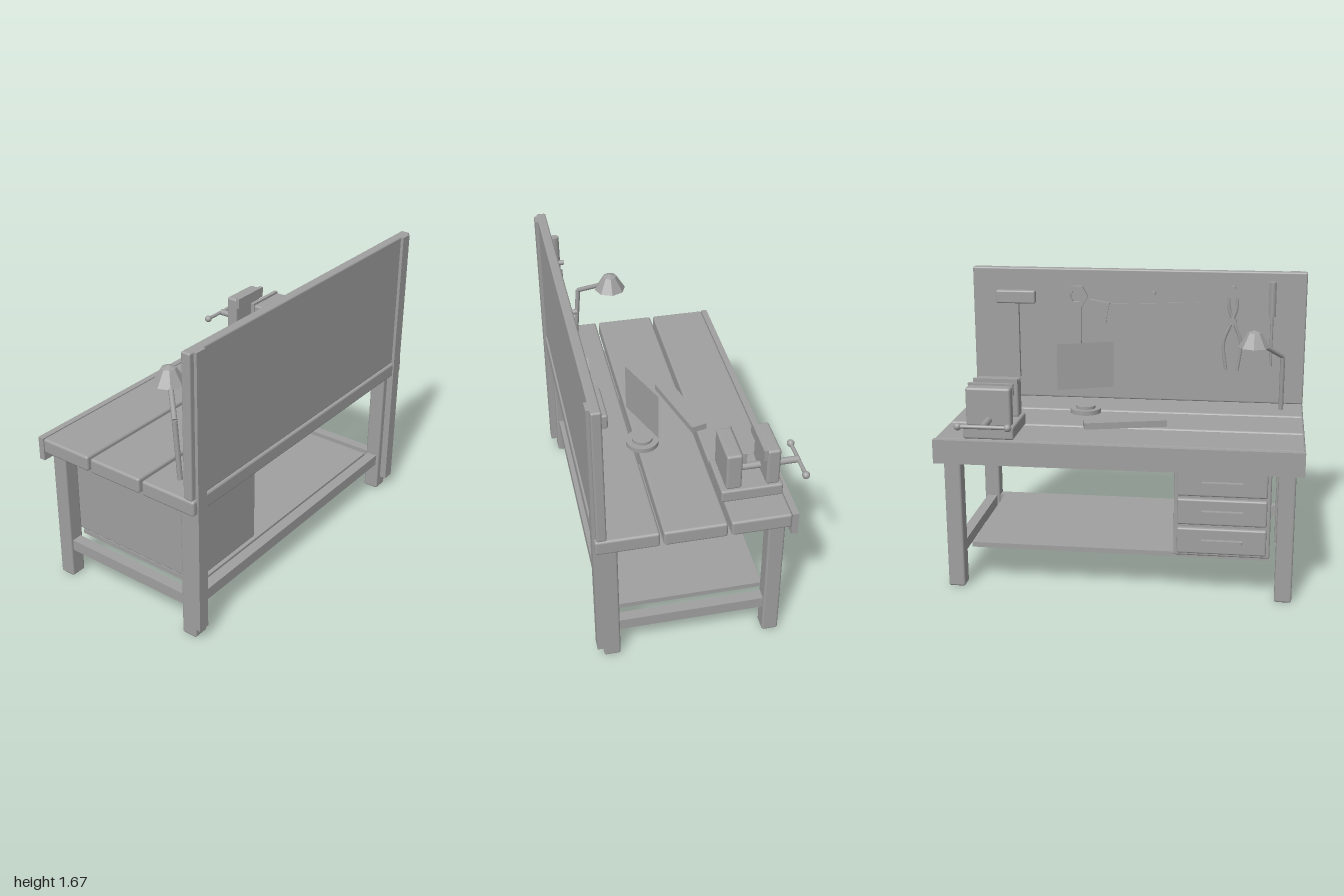
import * as THREE from 'three';
import { RoundedBoxGeometry } from 'three/addons/geometries/RoundedBoxGeometry.js';

export function createModel() {
  const model = new THREE.Group();
  model.name = 'workbench';
  const grey = new THREE.MeshStandardMaterial({ color: 0xa0a0a0, side: THREE.DoubleSide });
  grey.name = 'plain grey';

  const add = (name, geometry, x = 0, y = 0, z = 0, parent = model) => {
    const mesh = new THREE.Mesh(geometry, grey);
    mesh.name = name;
    mesh.position.set(x, y, z);
    parent.add(mesh);
    return mesh;
  };
  // Box given by its minimum and maximum on each axis; r > 0 softens the edges
  const box = (name, [x0, x1], [y0, y1], [z0, z1], r = 0, parent = model) => {
    const s = [x1 - x0, y1 - y0, z1 - z0];
    const g = r ? new RoundedBoxGeometry(...s, 2, r) : new THREE.BoxGeometry(...s);
    return add(name, g, (x0 + x1) / 2, (y0 + y1) / 2, (z0 + z1) / 2, parent);
  };
  // Round bar between two points
  const bar = (name, a, b, r, sides = 10, parent = model) => {
    const p = new THREE.Vector3(...a), q = new THREE.Vector3(...b);
    const d = q.clone().sub(p);
    const mesh = add(name, new THREE.CylinderGeometry(r, r, d.length(), sides), 0, 0, 0, parent);
    mesh.position.copy(p).add(q).multiplyScalar(0.5);
    mesh.quaternion.setFromUnitVectors(new THREE.Vector3(0, 1, 0), d.normalize());
    return mesh;
  };
  const group = (name) => {
    const g = new THREE.Group();
    g.name = name;
    model.add(g);
    return g;
  };

  // Frame: legs, posts and side rails, mirrored left and right
  for (const s of [-1, 1]) {
    const x = 0.91 * s;
    for (const z of [-0.383, 0.497])
      box('leg', [x - 0.047, x + 0.047], [0, 0.77], [z - 0.045, z + 0.045], 0.012);
    box('sideRail', [x - 0.03, x + 0.03], [0.17, 0.235], [-0.34, 0.455]);
    const px = 0.935 * s;
    box('boardPost', [px - 0.034, px + 0.034], [0.07, 1.665], [0.52, 0.58]);
  }
  box('longRail', [-0.865, 0.865], [0.17, 0.235], [0.465, 0.525]);
  box('shelf', [-0.83, 0.83], [0.215, 0.243], [-0.36, 0.46]);

  // Bench top: three planks and an apron
  for (const z of [[-0.447, -0.128], [-0.11, 0.222], [0.24, 0.572]])
    box('plank', [-1, 1], [0.786, 0.873], z, 0.014);
  box('apron', [-1, 1], [0.74, 0.873], [-0.48, -0.445]);
  box('toolBoard', [-1, 1], [0.873, 1.667], [0.51, 0.563], 0.01);

  // Drawer cabinet
  box('cabinet', [-0.83, -0.307], [0.243, 0.768], [-0.405, 0.442], 0.01);
  for (const y of [0.338, 0.504, 0.667]) {
    box('drawerFront', [-0.81, -0.327], [y - 0.073, y + 0.073], [-0.43, -0.395], 0.01);
    box('drawerHandle', [-0.68, -0.46], [y - 0.013, y + 0.013], [-0.456, -0.425]);
  }

  // Vise: base, two jaws with grip plates, screw and turning bar
  const vise = group('vise');
  box('viseBase', [0.56, 0.84], [0.873, 0.945], [-0.44, -0.112], 0.012, vise);
  box('fixedJaw', [0.575, 0.823], [0.94, 1.155], [-0.223, -0.139], 0.014, vise);
  box('movingJaw', [0.575, 0.823], [0.94, 1.155], [-0.424, -0.352], 0.014, vise);
  box('jawPlate', [0.575, 0.823], [1.1, 1.163], [-0.242, -0.22], 0, vise);
  box('jawPlate', [0.575, 0.823], [1.1, 1.163], [-0.355, -0.332], 0, vise);
  bar('viseScrew', [0.697, 0.977, -0.2], [0.697, 0.977, -0.56], 0.019, 12, vise);
  bar('viseHandle', [0.56, 0.977, -0.56], [0.835, 0.977, -0.56], 0.011, 10, vise);
  for (const x of [0.562, 0.832])
    add('handleKnob', new THREE.SphereGeometry(0.021, 12, 8), x, 0.977, -0.56, vise);

  // Desk lamp with an eight-sided shade, open underneath
  const lamp = group('lamp');
  const elbow = [-0.87, 1.2, 0.357];
  bar('lampStem', [-0.87, 0.873, 0.385], elbow, 0.014, 8, lamp);
  bar('lampArm', elbow, [-0.74, 1.3, 0.225], 0.014, 8, lamp);
  const shade = new THREE.LatheGeometry(
    [[0.09, 1.287], [0.04, 1.37], [0, 1.385]].map(([r, y]) => new THREE.Vector2(r, y)), 8).toNonIndexed();
  shade.computeVertexNormals();
  add('lampShade', shade, -0.705, 0, 0.187, lamp);

  // Round projector base with an upright panel floating above it
  add('projectorBase', new THREE.CylinderGeometry(0.09, 0.09, 0.027, 24), 0.265, 0.886, 0.188);
  add('projectorLens', new THREE.CylinderGeometry(0.057, 0.057, 0.018, 24), 0.265, 0.907, 0.188);
  add('floatingPanel', new THREE.PlaneGeometry(0.334, 0.27), 0.265, 1.15, 0.188).rotation.y = 0.36;

  // Loose block on the bench
  add('looseBlock', new THREE.BoxGeometry(0.465, 0.037, 0.09), 0, 0.891, -0.083).rotation.y = 0.256;

  // Hammer
  box('hammerHead', [0.613, 0.852], [1.457, 1.535], [0.46, 0.51], 0.01);
  box('hammerHandle', [0.717, 0.747], [1.0, 1.47], [0.476, 0.506]);

  // Wrench: six-sided ring and flat handle
  const ring = new THREE.Shape();
  const hole = new THREE.Path();
  for (let i = 0; i < 6; i++) {
    const a = (i * Math.PI) / 3;
    ring[i ? 'lineTo' : 'moveTo'](0.07 * Math.cos(a), 0.07 * Math.sin(a));
    hole[i ? 'lineTo' : 'moveTo'](0.038 * Math.cos(a), 0.038 * Math.sin(a));
  }
  ring.closePath();
  hole.closePath();
  ring.holes.push(hole);
  add('wrenchRing', new THREE.ExtrudeGeometry(ring, { depth: 0.026, bevelEnabled: false }), 0.365, 1.505, 0.48);
  box('wrenchHandle', [0.338, 0.392], [1.11, 1.45], [0.483, 0.503]);

  // Saw
  add('sawBlade', new THREE.BoxGeometry(0.56, 0.105, 0.01), -0.09, 1.42, 0.488).rotation.z = -0.04;
  add('sawHandle', new THREE.BoxGeometry(0.125, 0.12, 0.034), 0.237, 1.42, 0.488).rotation.z = 0.18;

  // Pliers: two crossing halves on a pivot
  const pliers = group('pliers');
  for (const s of [-1, 1]) {
    const path = new THREE.CatmullRomCurve3(
      [[0.025, 1.51], [0.022, 1.45], [-0.01, 1.36], [-0.05, 1.25], [-0.035, 1.08]]
        .map(([x, y]) => new THREE.Vector3(-0.57 + s * x, y, 0.488 + s * 0.004)));
    add('pliersHalf', new THREE.TubeGeometry(path, 16, 0.011, 6), 0, 0, 0, pliers);
  }
  bar('pliersPivot', [-0.57, 1.375, 0.468], [-0.57, 1.375, 0.508], 0.022, 10, pliers);

  // Screwdriver
  bar('screwdriverHandle', [-0.8, 1.41, 0.487], [-0.8, 1.612, 0.487], 0.025, 6);
  bar('screwdriverShaft', [-0.8, 1.11, 0.487], [-0.8, 1.42, 0.487], 0.009, 8);

  // Hanging pegs
  for (const [x, y] of [[-0.1, 1.53], [-0.57, 1.57]])
    bar('peg', [x, y, 0.465], [x, y, 0.515], 0.014, 8);

  return model;
}
